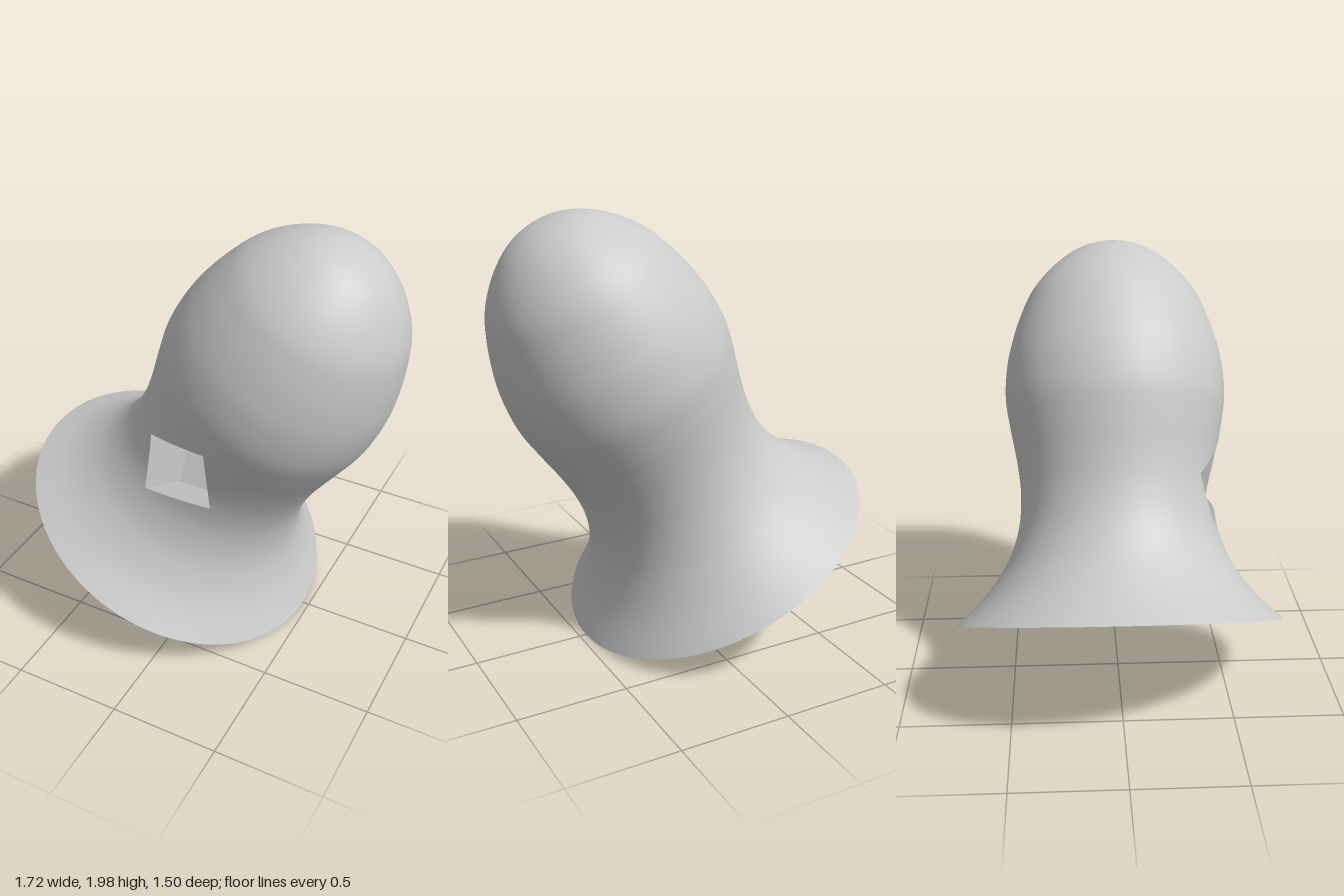
import * as THREE from 'three';

const TILT = 0.4725;            // lean of the bell towards +x
const BASE = [-0.2, 0.34];      // centre of the open rim

// Bell profile: radius, height along the axis
const profile = new THREE.SplineCurve([
  [0.75, 0], [0.64, 0.105], [0.56, 0.205], [0.498, 0.315], [0.457, 0.452], [0.448, 0.6],
  [0.464, 0.748], [0.492, 0.9], [0.513, 1.043], [0.504, 1.2], [0.474, 1.332], [0.433, 1.45],
  [0.385, 1.55], [0.305, 1.65], [0.21, 1.73], [0.125, 1.772], [0.05, 1.788], [0, 1.79],
].map(([r, h]) => new THREE.Vector2(r, h))).getPoints(85);
profile[profile.length - 1].x = 0;

// Is a point inside the bell?
function insideBell(x, y, z) {
  const dx = x - BASE[0], dy = y - BASE[1], s = Math.sin(TILT), c = Math.cos(TILT);
  const h = dx * s + dy * c, side = dx * c - dy * s;
  const i = profile.findIndex((p) => p.y >= h);
  if (i < 1) return false;
  const a = profile[i - 1], b = profile[i];
  const r = a.x + (b.x - a.x) * (h - a.y) / (b.y - a.y);
  return side * side + z * z < r * r;
}

// Slanted rectangular pocket: o runs outwards, p runs down from its ceiling
const X0 = -0.14, X1 = 0.18, DEPTH = 0.25, APEX_Y = 0.835;
const S = Math.sin(Math.PI / 6), C = Math.cos(Math.PI / 6);
const pocketPoint = (x, p, o) => [x, APEX_Y + S * o - C * p, C * o + S * p];
const pocketPlanes = [
  (v) => v[0] - X0,
  (v) => X1 - v[0],
  (v) => S * v[2] - C * (v[1] - APEX_Y),
  (v) => DEPTH - S * v[2] + C * (v[1] - APEX_Y),
  (v) => C * v[2] + S * (v[1] - APEX_Y),
];

// Split a polygon by a plane into its outer and inner parts
function split(poly, plane) {
  const outer = [], inner = [];
  poly.forEach((a, i) => {
    const b = poly[(i + 1) % poly.length], fa = plane(a), fb = plane(b);
    (fa > 0 ? inner : outer).push(a);
    if ((fa > 0) !== (fb > 0)) {
      const m = a.map((v, k) => v + (b[k] - v) * fa / (fa - fb));
      outer.push(m);
      inner.push(m);
    }
  });
  return [outer, inner];
}

function bellGeometry() {
  const lathe = new THREE.LatheGeometry(profile, 96).toNonIndexed();
  lathe.rotateZ(-TILT).translate(BASE[0], BASE[1], 0);
  const P = lathe.attributes.position, N = lathe.attributes.normal;
  const pos = [], nor = [];
  const emit = (poly) => {
    for (let i = 1; i + 1 < poly.length; i++) {
      for (const v of [poly[0], poly[i], poly[i + 1]]) {
        pos.push(...v.slice(0, 3));
        nor.push(...v.slice(3));
      }
    }
  };
  // Keep only what lies outside the pocket
  for (let i = 0; i < P.count; i += 3) {
    const tri = [i, i + 1, i + 2].map((k) =>
      [P.getX(k), P.getY(k), P.getZ(k), N.getX(k), N.getY(k), N.getZ(k)]);
    if (pocketPlanes.some((f) => tri.every((v) => f(v) <= 0))) { emit(tri); continue; }
    let rest = tri;
    for (const plane of pocketPlanes) {
      const [outer, inner] = split(rest, plane);
      emit(outer);
      rest = inner;
      if (!rest.length) break;
    }
  }
  const g = new THREE.BufferGeometry();
  g.setAttribute('position', new THREE.Float32BufferAttribute(pos, 3));
  g.setAttribute('normal', new THREE.Float32BufferAttribute(nor, 3));
  return g;
}

function pocketGeometry() {
  // Walk round the rectangle, running each wall out to the bell surface
  const corners = [[X0, 0], [X0, DEPTH], [X1, DEPTH], [X1, 0]];
  const steps = 16, loop = [];
  corners.forEach(([x, p], i) => {
    const [x2, p2] = corners[(i + 1) % 4];
    for (let k = 0; k < steps; k++) {
      const t = k / steps, qx = x + (x2 - x) * t, qp = p + (p2 - p) * t;
      let lo = 0, hi = 1.2;
      for (let n = 0; n < 30; n++) {
        const mid = (lo + hi) / 2;
        if (insideBell(...pocketPoint(qx, qp, mid))) lo = mid; else hi = mid;
      }
      loop.push([pocketPoint(qx, qp, 0), pocketPoint(qx, qp, lo)]);
    }
  });
  const pos = [];
  const quad = (a, b, c, d) => pos.push(...a, ...b, ...c, ...a, ...c, ...d);
  loop.forEach(([a, b], i) => {
    const [c, d] = loop[(i + 1) % loop.length];
    quad(a, c, d, b);
  });
  quad(...corners.map(([x, p]) => pocketPoint(x, p, 0)));
  const g = new THREE.BufferGeometry();
  g.setAttribute('position', new THREE.Float32BufferAttribute(pos, 3));
  g.computeVertexNormals();
  return g;
}

export function createModel() {
  const group = new THREE.Group();
  group.name = 'tiltedBell';
  const material = new THREE.MeshStandardMaterial({ color: 0xcccccc, side: THREE.DoubleSide });
  const add = (name, geometry) => {
    const mesh = new THREE.Mesh(geometry, material);
    mesh.name = name;
    group.add(mesh);
  };
  add('bellShell', bellGeometry());
  add('windowPocket', pocketGeometry());
  return group;
}
